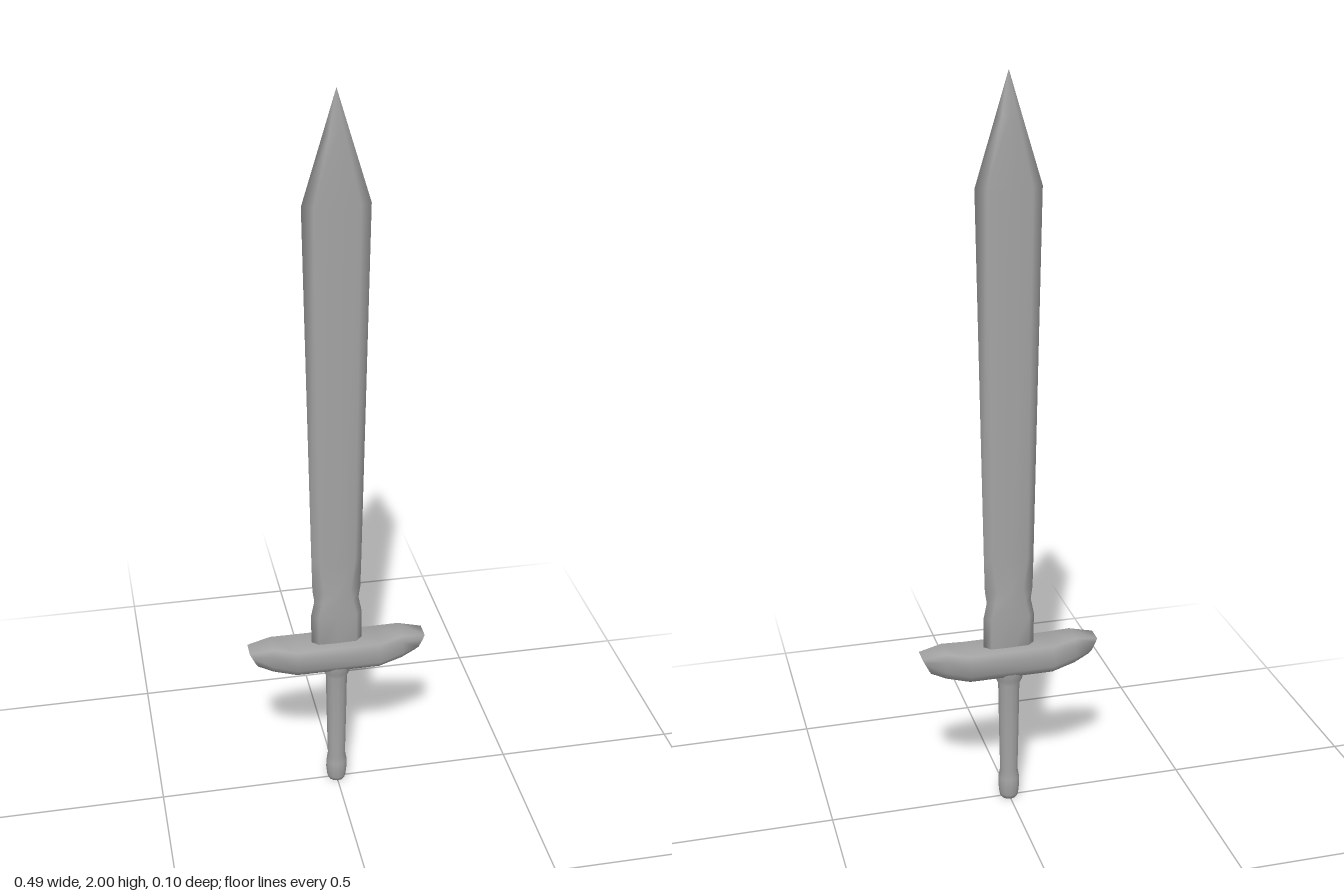
import * as THREE from 'three';

// Dull steel
const material = new THREE.MeshStandardMaterial({ color: 0xa3a3a3 });

// Skins a list of equal-sized rings of [x, y, z] points and closes both ends.
function loft(rings) {
  const n = rings[0].length, last = (rings.length - 1) * n, index = [];
  for (let s = 0; s < last; s += n) {
    for (let j = 0; j < n; j++) {
      const a = s + j, b = s + (j + 1) % n;
      index.push(a, a + n, b, b, a + n, b + n);
    }
  }
  // End caps share the rim corners, so the ends shade softly
  for (let j = 1; j < n - 1; j++) {
    index.push(0, j, j + 1, last, last + j + 1, last + j);
  }
  const geometry = new THREE.BufferGeometry();
  geometry.setAttribute('position', new THREE.Float32BufferAttribute(rings.flat(2), 3));
  geometry.setIndex(index);
  geometry.computeVertexNormals();
  return geometry;
}

function part(name, geometry) {
  const mesh = new THREE.Mesh(geometry, material);
  mesh.name = name;
  return mesh;
}

// Blade: height, half width at the edge, half width of the flat, half thickness
function bladeGeometry() {
  const sections = [
    [0.45, 0.070, 0.052, 0.019],
    [0.56, 0.070, 0.052, 0.020],
    [0.605, 0.061, 0.042, 0.021],
    [0.64, 0.066, 0.036, 0.019],
    [0.73, 0.068, 0.048, 0.015],
    [1.72, 0.086, 0.058, 0.015],
    [1.89, 0.034, 0.020, 0.012],
    [2.00, 0.0005, 0.0003, 0.0003],
  ];
  return loft(sections.map(([y, w, f, t]) => [
    [w, y, 0], [f, y, t * 0.9], [0, y, t], [-f, y, t * 0.9],
    [-w, y, 0], [-f, y, -t * 0.9], [0, y, -t], [f, y, -t * 0.9],
  ]));
}

// Crossguard: distance from the middle, bottom, top, half depth, outward lean of the top
function guardGeometry() {
  const half = [
    [0.115, 0.391, 0.474, 0.051, 0],
    [0.180, 0.406, 0.483, 0.037, 0],
    [0.232, 0.423, 0.472, 0.026, 0.012],
  ];
  const ring = ([x, b, t, d, lean], side) => [
    [d, 0.3], [d, 0.75], [d * 0.9, 1], [-d * 0.9, 1],
    [-d, 0.75], [-d, 0.3], [-d * 0.6, 0], [d * 0.6, 0],
  ].map(([z, k]) => [side * (x + lean * (2 * k - 1)), b + (t - b) * k, z]);
  return loft([
    ...half.toReversed().map((s) => ring(s, -1)),
    ...half.map((s) => ring(s, 1)),
  ]);
}

// Grip with a small pommel and a collar under the guard
function gripGeometry() {
  const profile = [
    [0, 0], [0.023, 0], [0.027, 0.012], [0.030, 0.04], [0.029, 0.062],
    [0.025, 0.085], [0.028, 0.23], [0.030, 0.36], [0.038, 0.378], [0.040, 0.40],
  ];
  return new THREE.LatheGeometry(profile.map(([r, y]) => new THREE.Vector2(r, y)), 12);
}

export function createModel() {
  const sword = new THREE.Group();
  sword.name = 'sword';
  sword.add(
    part('blade', bladeGeometry()),
    part('crossguard', guardGeometry()),
    part('grip', gripGeometry()),
  );
  return sword;
}
